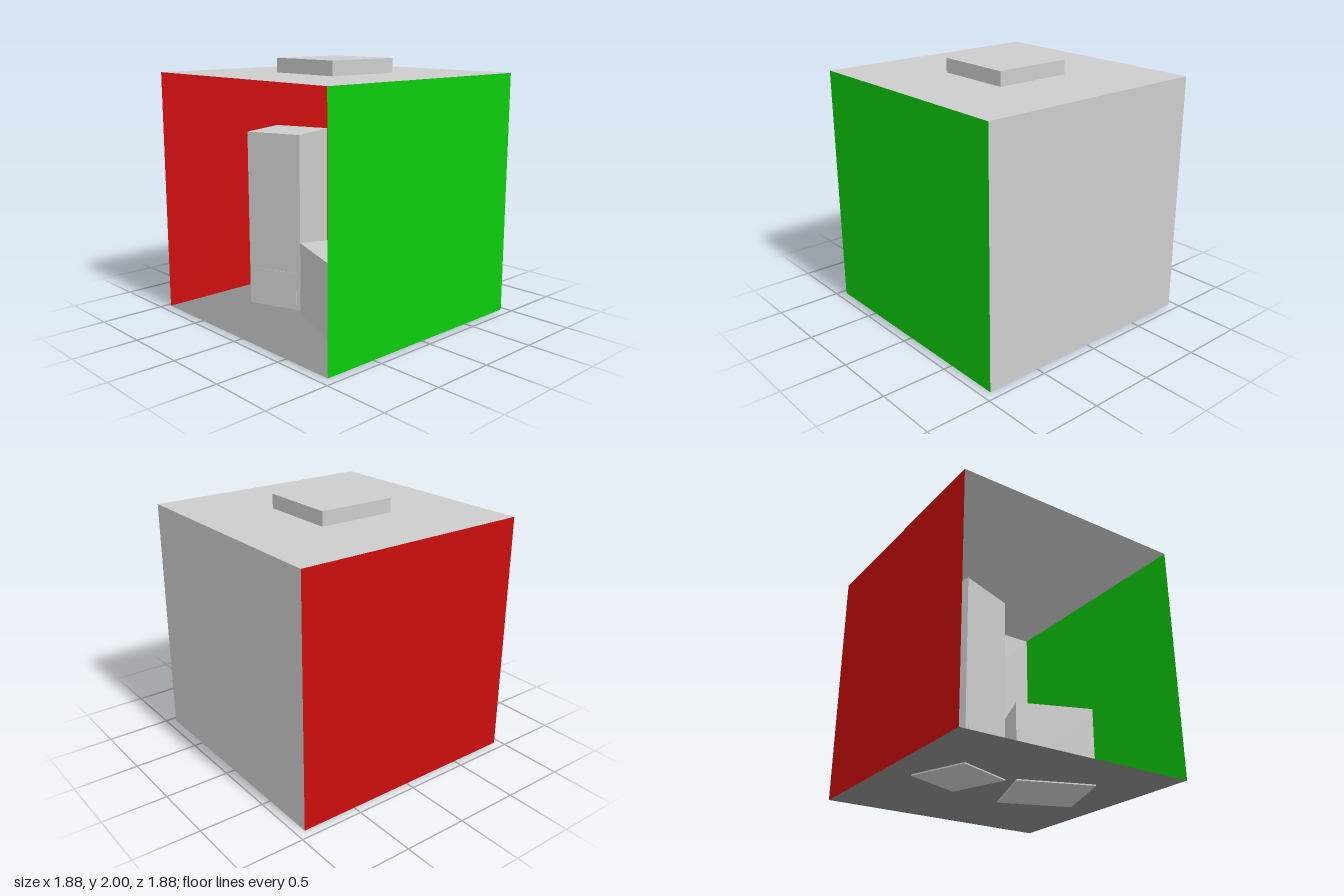
import * as THREE from 'three';

const flat = (name, color) => {
  const m = new THREE.MeshStandardMaterial({ color, side: THREE.DoubleSide });
  m.name = name;
  return m;
};

export function createModel() {
  const white = flat('white', 0xcccccc);
  const grey = flat('floorGrey', 0x8c8c8c);
  const red = flat('red', 0xcc0d0d);
  const green = flat('green', 0x0dcc0d);

  const room = new THREE.Group();
  room.name = 'room';
  const add = (parent, name, geometry, material, x, y, z) => {
    const mesh = new THREE.Mesh(geometry, material);
    mesh.name = name;
    mesh.position.set(x, y, z);
    parent.add(mesh);
    return mesh;
  };

  // Paper-thin shell, open at the front
  const half = 0.94, low = 0.01, high = 1.89, mid = (low + high) / 2;
  const sheet = new THREE.PlaneGeometry(2 * half, high - low);
  add(room, 'floor', sheet, grey, 0, low, 0).rotation.x = -Math.PI / 2;
  add(room, 'ceiling', sheet, white, 0, high, 0).rotation.x = -Math.PI / 2;
  add(room, 'backWall', sheet, white, 0, mid, -half);
  add(room, 'rightWall', sheet, red, -half, mid, 0).rotation.y = Math.PI / 2;
  add(room, 'leftWall', sheet, green, half, mid, 0).rotation.y = -Math.PI / 2;

  // Lamp housing on the ceiling
  add(room, 'lamp', new THREE.BoxGeometry(0.62, 0.11, 0.62), white, 0, 1.945, 0);

  // Two square blocks turned on the floor, sunk slightly through it
  const block = (name, size, height, x, z, turn) => {
    const group = new THREE.Group();
    group.name = name;
    group.position.set(x, 0, z);
    group.rotation.y = turn;
    add(group, name + 'Body', new THREE.BoxGeometry(size, height, size), white, 0, height / 2, 0);
    room.add(group);
    return group;
  };
  const tall = block('tallBlock', 0.466, 1.42, -0.433, 0.11, 0.36);
  block('shortBlock', 0.585, 0.59, 0.305, 0.13, -0.366);

  // Thin panel low on the front of the tall block
  add(tall, 'panel', new THREE.BoxGeometry(0.395, 0.265, 0.004), white, 0, 0.18, 0.234);

  return room;
}
